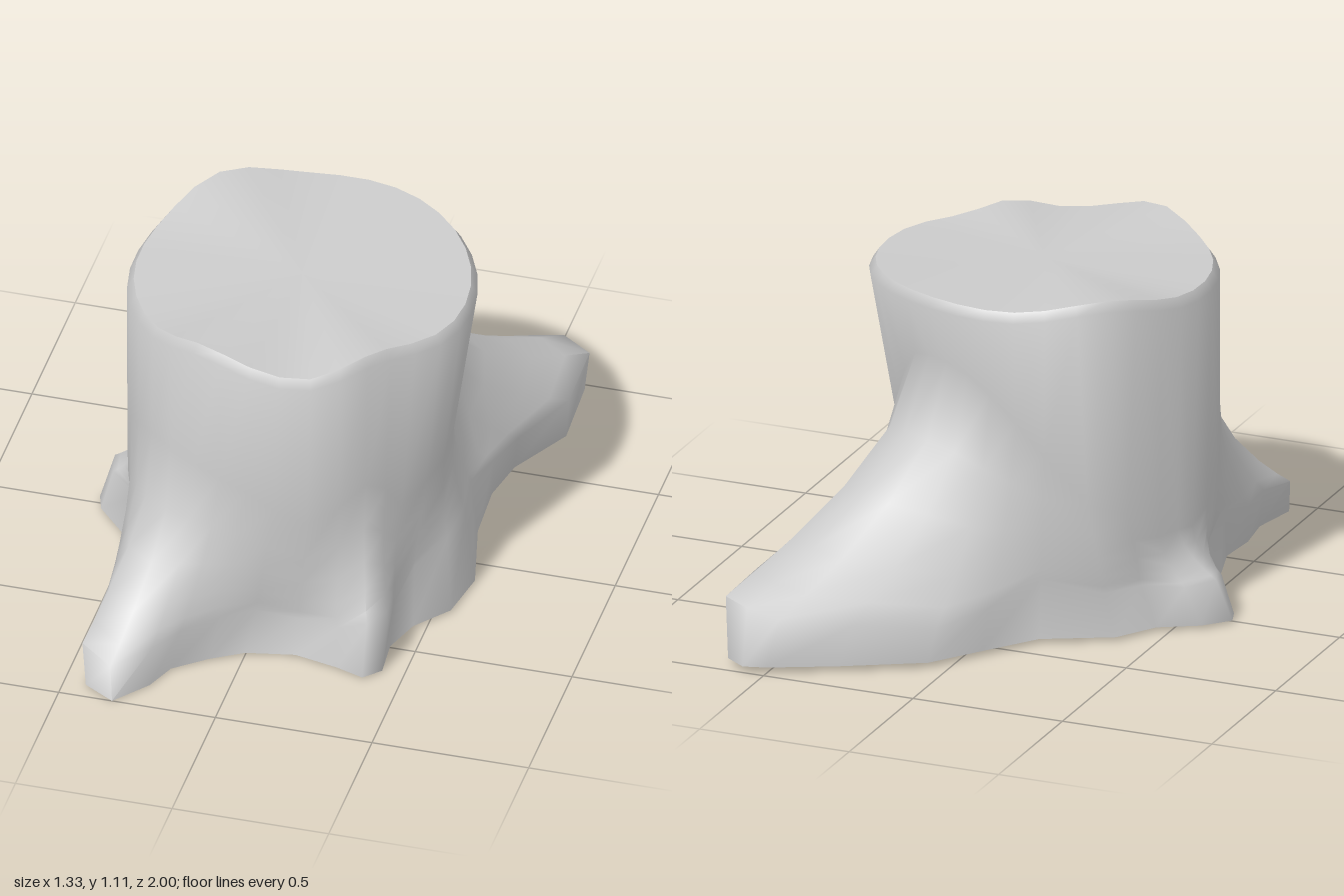
import * as THREE from 'three';
import { toCreasedNormals } from 'three/addons/utils/BufferGeometryUtils.js';

const CX = 0.03, CZ = 0.1;

// Ground outline, one column each: x, z, root tip height, height where the flare joins the trunk
const COLUMNS = [
  // right side
  [0.58, 0.1, 0.26, 0.53], [0.55, 0.27, 0.25, 0.52], [0.46, 0.38, 0.2, 0.5],
  // short front root
  [0.42, 0.5, 0.13, 0.45], [0.43, 0.63, 0.15, 0.55], [0.38, 0.68, 0.18, 0.6], [0.29, 0.65, 0.13, 0.55],
  [0.15, 0.62, 0.12, 0.5], [0, 0.65, 0.15, 0.55],
  // long front root
  [-0.1, 0.71, 0.15, 0.6], [-0.2, 0.79, 0.13, 0.63], [-0.24, 0.89, 0.12, 0.65], [-0.33, 1, 0.1, 0.66],
  [-0.43, 0.94, 0.12, 0.66], [-0.4, 0.78, 0.15, 0.64], [-0.42, 0.64, 0.15, 0.6], [-0.41, 0.5, 0.18, 0.5],
  // side root
  [-0.46, 0.33, 0.15, 0.4], [-0.52, 0.16, 0.15, 0.32], [-0.63, 0.04, 0.14, 0.29], [-0.65, -0.02, 0.15, 0.3],
  [-0.58, -0.1, 0.14, 0.3], [-0.46, -0.17, 0.15, 0.4], [-0.38, -0.3, 0.15, 0.45],
  // great back root
  [-0.17, -0.41, 0.2, 0.6], [-0.05, -0.58, 0.15, 0.7], [0.06, -0.74, 0.12, 0.78], [0.3, -0.88, 0.15, 0.83],
  [0.5, -0.98, 0.18, 0.85], [0.57, -1, 0.2, 0.85], [0.64, -0.95, 0.2, 0.83], [0.65, -0.7, 0.2, 0.75],
  [0.54, -0.5, 0.18, 0.65], [0.51, -0.35, 0.2, 0.55], [0.52, -0.15, 0.25, 0.53],
];

const { lerp } = THREE.MathUtils;

// Smooth bump around an angle
const bump = (a, centre, width) => {
  const d = Math.atan2(Math.sin(a - centre), Math.cos(a - centre)) / width;
  return Math.exp(-d * d);
};

// Trunk radius, flattened on one side, and its narrower waist
const trunkRadius = (a) => 0.54 - 0.05 * bump(a, 0.7, 0.3) + 0.02 * bump(a, -2.3, 0.3);
const waistRadius = (a) => trunkRadius(a) - 0.09 * Math.max(0, Math.cos(a + 0.8));

// Uneven height of the cut rim
const rimHeight = (a) => 1.045 + 0.06 * bump(a, -2.33, 0.4) + 0.05 * bump(a, 1.92, 0.3)
  + 0.035 * bump(a, -1.2, 0.8) + 0.025 * bump(a, 0.9, 0.25) - 0.015 * bump(a, 1.3, 0.2);

// Points up one column, from the ground to the bevelled rim
function columnPoints([x, z, tip, flare], i) {
  const ground = (Math.atan2(z - CZ, x - CX) + 2 * Math.PI) % (2 * Math.PI);
  const even = (i / COLUMNS.length) * 2 * Math.PI;
  const reach = Math.hypot(x - CX, z - CZ);
  // columns bunched at a root fan out evenly as they climb
  const angleAt = (y) => lerp(ground, even, Math.min(1, y / 0.65));
  const at = (a, r, y) => new THREE.Vector3(CX + r * Math.cos(a), y, CZ + r * Math.sin(a));

  const points = [at(ground, reach, 0.01 - 0.01 * z)];
  for (const t of [0, 0.08, 0.2, 0.4, 0.65, 1]) {
    const y = lerp(tip, flare, t), a = angleAt(y);
    points.push(at(a, lerp(waistRadius(a), reach - 0.03, (1 - t) ** 2), y));
  }
  const rim = rimHeight(even);
  points.push(at(even, trunkRadius(even), rim - 0.03), at(even, trunkRadius(even) - 0.02, rim));
  return points;
}

function meshFrom(name, positions, index) {
  const geometry = new THREE.BufferGeometry();
  geometry.setAttribute('position', new THREE.Float32BufferAttribute(positions, 3));
  geometry.setIndex(index);
  const mesh = new THREE.Mesh(toCreasedNormals(geometry, 1.3), new THREE.MeshStandardMaterial({ color: 0xcccccc }));
  mesh.name = name;
  return mesh;
}

// Fan closing a ring of points
function cap(name, ring, centreY, up) {
  const positions = [CX, centreY, CZ, ...ring.flatMap((p) => p.toArray())];
  const index = [];
  ring.forEach((_, i) => {
    const a = i + 1, b = ((i + 1) % ring.length) + 1;
    index.push(0, up ? b : a, up ? a : b);
  });
  return meshFrom(name, positions, index);
}

export function createModel() {
  const columns = COLUMNS.map(columnPoints);
  const n = columns.length, rows = columns[0].length;

  // Bark: trunk and roots as one skin
  const index = [];
  for (let i = 0; i < n; i++) {
    for (let k = 0; k < rows - 1; k++) {
      const a = i * rows + k, b = ((i + 1) % n) * rows + k;
      index.push(a, a + 1, b, b, a + 1, b + 1);
    }
  }
  const positions = columns.flat().flatMap((p) => p.toArray());

  const group = new THREE.Group();
  group.name = 'treeStump';
  group.add(
    meshFrom('trunkAndRoots', positions, index),
    cap('cutTop', columns.map((c) => c[rows - 1]), 1.065, true),
    cap('underside', columns.map((c) => c[0]), 0.01, false),
  );
  return group;
}
